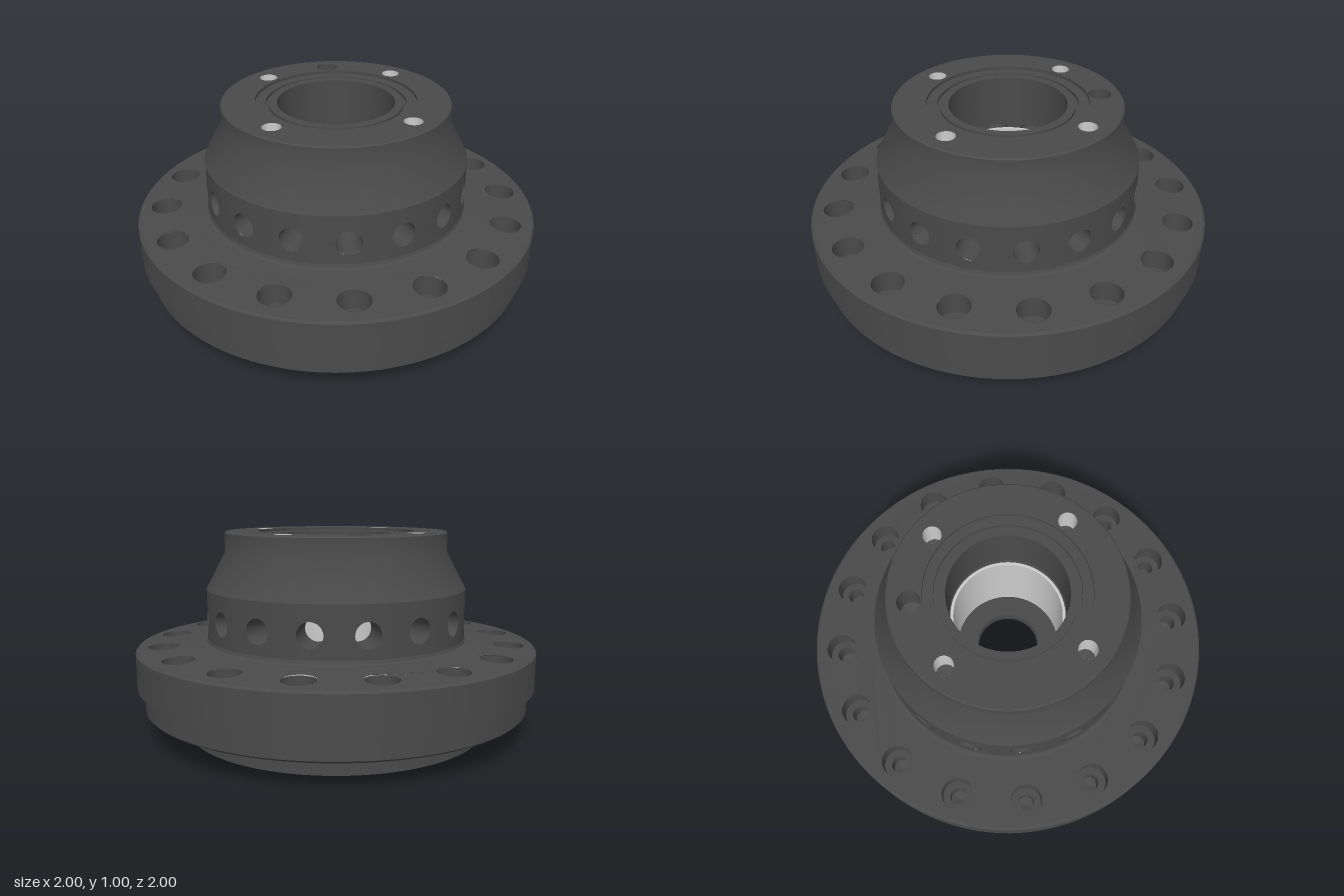
import * as THREE from 'three';
import { toCreasedNormals, mergeGeometries } from 'three/addons/utils/BufferGeometryUtils.js';

const DARK = new THREE.MeshStandardMaterial({ color: 0x4a4a4a, side: THREE.DoubleSide });
const LIGHT = new THREE.MeshStandardMaterial({ color: 0xcccccc, side: THREE.DoubleSide });
const STEP = Math.PI / 8; // sixteen holes around
const START = THREE.MathUtils.degToRad(6);

// Angles run clockwise from the back, seen from above
const polar = (r, a) => [r * Math.sin(a), r * Math.cos(a)];
const around = (n, start = START) => Array.from({ length: n }, (_, i) => start + (i * Math.PI * 2) / n);

function lathe(points, segments = 128) {
  const g = new THREE.LatheGeometry(points.map(([r, y]) => new THREE.Vector2(r, y)), segments);
  return toCreasedNormals(g, 0.5);
}

// Flat ring pierced by holes [radius from centre, angle, hole radius]
function piercedRing(inner, outer, height, holes) {
  const shape = new THREE.Shape().absarc(0, 0, outer, 0, Math.PI * 2);
  shape.holes.push(new THREE.Path().absarc(0, 0, inner, 0, Math.PI * 2, true));
  for (const [r, a, size] of holes) {
    const [x, y] = polar(r, a);
    shape.holes.push(new THREE.Path().absarc(x, y, size, 0, Math.PI * 2, true));
  }
  const g = new THREE.ShapeGeometry(shape, 64).rotateX(-Math.PI / 2);
  const p = g.attributes.position;
  for (let i = 0; i < p.count; i++) p.setY(i, height(Math.hypot(p.getX(i), p.getZ(i))));
  g.computeVertexNormals();
  return g;
}

// Cylinder wall with sixteen round windows, bent from flat panels
function windowedWall(R, y0, y1, yHole, size) {
  const half = (R * STEP) / 2, n = 8, panels = [];
  for (const a of around(16)) {
    const s = new THREE.Shape();
    s.moveTo(-half, y0);
    for (let i = 1; i <= n; i++) s.lineTo(-half + (2 * half * i) / n, y0);
    for (let i = 0; i <= n; i++) s.lineTo(half - (2 * half * i) / n, y1);
    s.holes.push(new THREE.Path().absarc(0, yHole, size, 0, Math.PI * 2, true));
    const g = new THREE.ShapeGeometry(s, 20);
    const p = g.attributes.position, nrm = g.attributes.normal;
    for (let i = 0; i < p.count; i++) {
      const t = Math.PI - a + p.getX(i) / R; // measured from +z
      p.setXYZ(i, R * Math.sin(t), p.getY(i), R * Math.cos(t));
      nrm.setXYZ(i, Math.sin(t), 0, Math.cos(t));
    }
    panels.push(g);
  }
  return mergeGeometries(panels);
}

export function createModel() {
  const model = new THREE.Group();
  const add = (name, geometry, material = DARK, parent = model) => {
    const m = new THREE.Mesh(geometry, material);
    m.name = name;
    parent.add(m);
    return m;
  };
  // Blind holes of one profile, repeated at the given angles
  const drill = (name, r, angles, profile, material = DARK) => {
    const group = new THREE.Group();
    group.name = name;
    const g = lathe(profile, 32);
    for (const a of angles) {
      const [x, z] = polar(r, a);
      add('hole', g, material, group).position.set(x, 0, -z);
    }
    model.add(group);
  };

  // Flange: lower spigot, stepped rim and sloping top with counterbores
  const ring16 = around(16);
  const slope = r => 0.435 + (0.02 * (0.99 - r)) / 0.32;
  add('flangeRim', lathe([[0.7, 0.06], [0.7, 0], [0.76, 0], [0.76, 0.13]]));
  add('flangeSide', lathe([[0.955, 0.13], [0.965, 0.14], [0.965, 0.25], [1, 0.25], [1, 0.425], [0.99, 0.435]]));
  add('flangeTop', piercedRing(0.67, 0.99, slope, ring16.map(a => [0.865, a, 0.075])));
  add('flangeFillet', lathe([[0.67, 0.455], [0.655, 0.46], [0.65, 0.475]]));
  drill('counterbores', 0.865, ring16,
    [[0.075, 0.443], [0.075, 0.34], [0.04, 0.34], [0.04, 0.24], [0, 0.225]]);
  add('flangeUnderside', piercedRing(0.76, 0.955, () => 0.13, ring16.map(a => [0.865, a, 0.024])));
  drill('undersideHoles', 0.865, ring16, [[0.024, 0.13], [0.024, 0.19], [0, 0.2]], LIGHT);

  // Stepped recess underneath
  const twelve = ring16.filter((_, i) => i % 4 !== 3);
  add('recessLedge', piercedRing(0.485, 0.7, () => 0.06, twelve.map(a => [0.57, a, 0.022])));
  drill('ledgeHoles', 0.57, twelve, [[0.022, 0.06], [0.022, 0.12], [0, 0.13]], LIGHT);
  const small = around(4, THREE.MathUtils.degToRad(50.4));
  add('recessWall', lathe([[0.4, 0.2], [0.44, 0.193], [0.47, 0.172], [0.485, 0.14], [0.485, 0.06]]));
  add('recessCeiling', piercedRing(0.215, 0.4, () => 0.2, small.map(a => [0.33, a, 0.022])));
  drill('ceilingHoles', 0.33, small, [[0.022, 0.2], [0.022, 0.25], [0, 0.26]], LIGHT);
  add('centreBore', lathe([[0.285, 0.28], [0.16, 0.28], [0.16, 0.22], [0.215, 0.22], [0.215, 0.2]]));

  // Hub barrel with radial windows opening on an inner cavity
  add('barrelOuterWall', windowedWall(0.65, 0.475, 0.72, 0.583, 0.06));
  add('barrelInnerWall', windowedWall(0.47, 0.45, 0.72, 0.583, 0.06));
  const liner = new THREE.CylinderGeometry(0.06, 0.06, 0.18, 40, 1, true).rotateX(Math.PI / 2);
  for (const a of ring16) {
    const [x, z] = polar(0.558, a);
    const m = add('windowLining', liner);
    m.position.set(x, 0.583, -z);
    m.rotation.y = Math.PI - a;
  }
  add('cavityFloor', lathe([[0.47, 0.45], [0.28, 0.45]]));
  add('shoulder', lathe([[0.65, 0.72], [0.555, 0.9], [0.555, 0.993], [0.548, 1]]));

  // Top face, seal groove and upper bore
  const dowel = THREE.MathUtils.degToRad(5);
  add('topFace', piercedRing(0.39, 0.548, () => 1,
    [...small.map(a => [0.45, a, 0.045]), [0.45, dowel, 0.055]]));
  drill('threadedHoles', 0.45, small, [[0.045, 1], [0.045, 0.87]], LIGHT);
  drill('threadedHoleTips', 0.45, small, [[0.045, 0.87], [0, 0.845]]);
  drill('dowelHole', 0.45, [dowel], [[0.055, 1], [0.055, 0.86], [0, 0.83]]);
  add('upperBore', lathe([[0.39, 1], [0.39, 0.985], [0.34, 0.985], [0.34, 0.97], [0.325, 0.97],
    [0.325, 0.985], [0.285, 0.985], [0.285, 0.72], [0.47, 0.72]]));

  // Bright spacer sleeve inside the bore
  add('spacerSleeve', lathe([[0.268, 0.7], [0.268, 0.28], [0.282, 0.28], [0.282, 0.7], [0.268, 0.7]]), LIGHT);
  return model;
}
